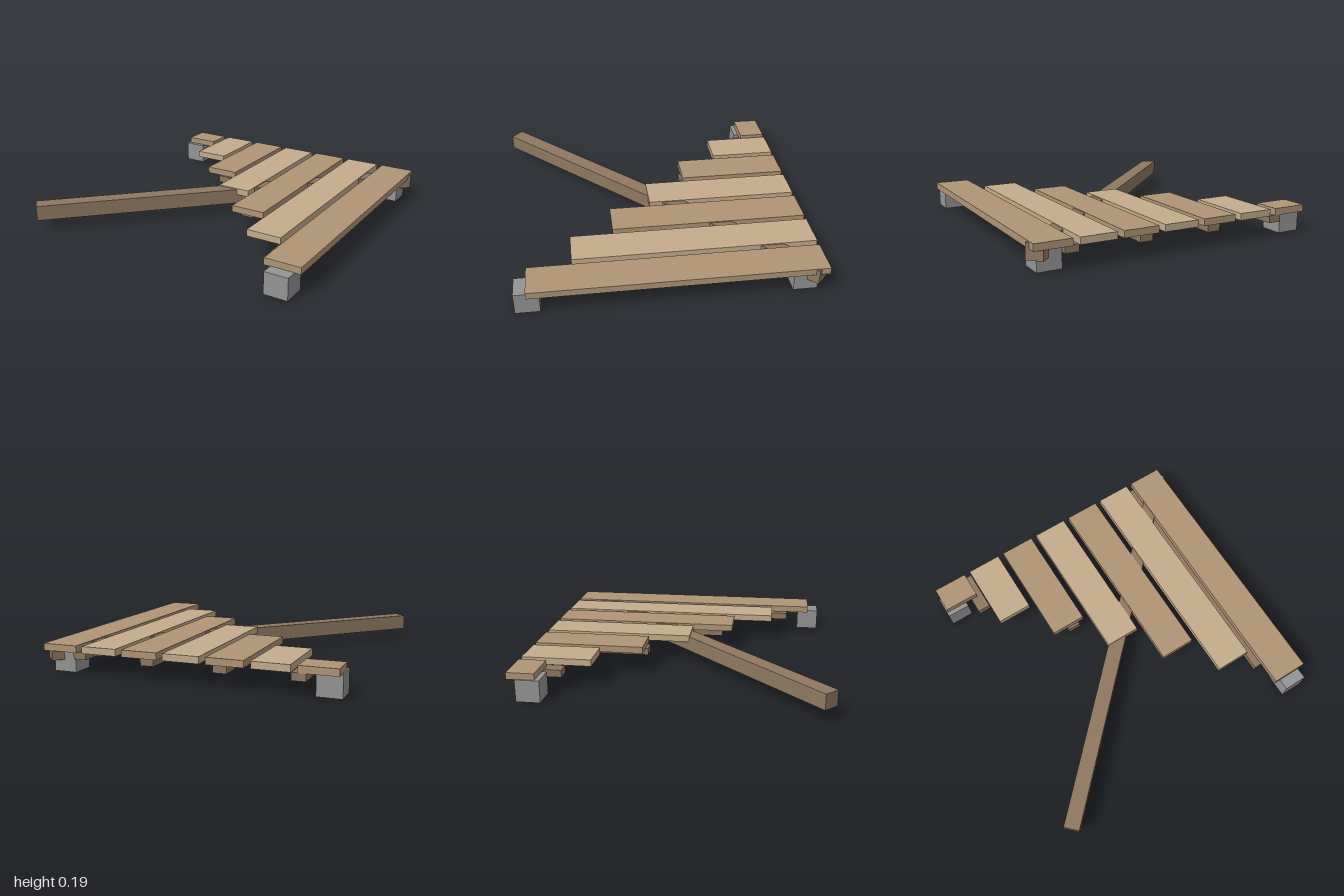
import * as THREE from 'three';

const mat = (color) => new THREE.MeshStandardMaterial({ color });

export function createModel() {
  const model = new THREE.Group();
  const lightWood = mat(0xc4ad8b);
  const darkWood = mat(0xb09575);
  const frameWood = mat(0x8f7860);
  const concrete = mat(0x959595);

  // Box given by its minimum and maximum on each axis
  const box = (name, material, [x0, x1], [y0, y1], [z0, z1]) => {
    const mesh = new THREE.Mesh(new THREE.BoxGeometry(x1 - x0, y1 - y0, z1 - z0), material);
    mesh.position.set((x0 + x1) / 2, (y0 + y1) / 2, (z0 + z1) / 2);
    mesh.name = name;
    model.add(mesh);
    return mesh;
  };

  // Deck planks, stepping longer towards the left side
  for (let i = 0; i < 7; i++) {
    const x = -0.935 + i * 0.28;
    const end = i === 0 ? -0.82 : -0.82 + i * 0.281;
    box(`plank${i + 1}`, i % 2 ? lightWood : darkWood, [x, x + 0.238], [0.142, 0.187], [-1, end]);
  }

  // Joists under the planks
  for (let i = 0; i < 4; i++) {
    const x = -0.745 + i * 0.48;
    box(`joist${i + 1}`, frameWood, [x, x + 0.088], [0.094, 0.142], [-0.995 + i * 0.008, -0.71 + i * 0.47]);
  }

  // Foundation blocks at three corners
  for (const [name, x, z] of [
    ['frontLeftBlock', 0.866, 0.866],
    ['backLeftBlock', 0.866, -0.866],
    ['backRightBlock', -0.866, -0.866],
  ]) {
    box(name, concrete, [x - 0.078, x + 0.078], [0, 0.145], [z - 0.078, z + 0.078]);
  }

  // Long diagonal beam running out past the deck
  const beam = box('diagonalBeam', frameWood, [-1.361, 1.361], [0.078, 0.18], [-0.053, 0.053]);
  beam.rotation.y = Math.PI / 4;

  return model;
}
